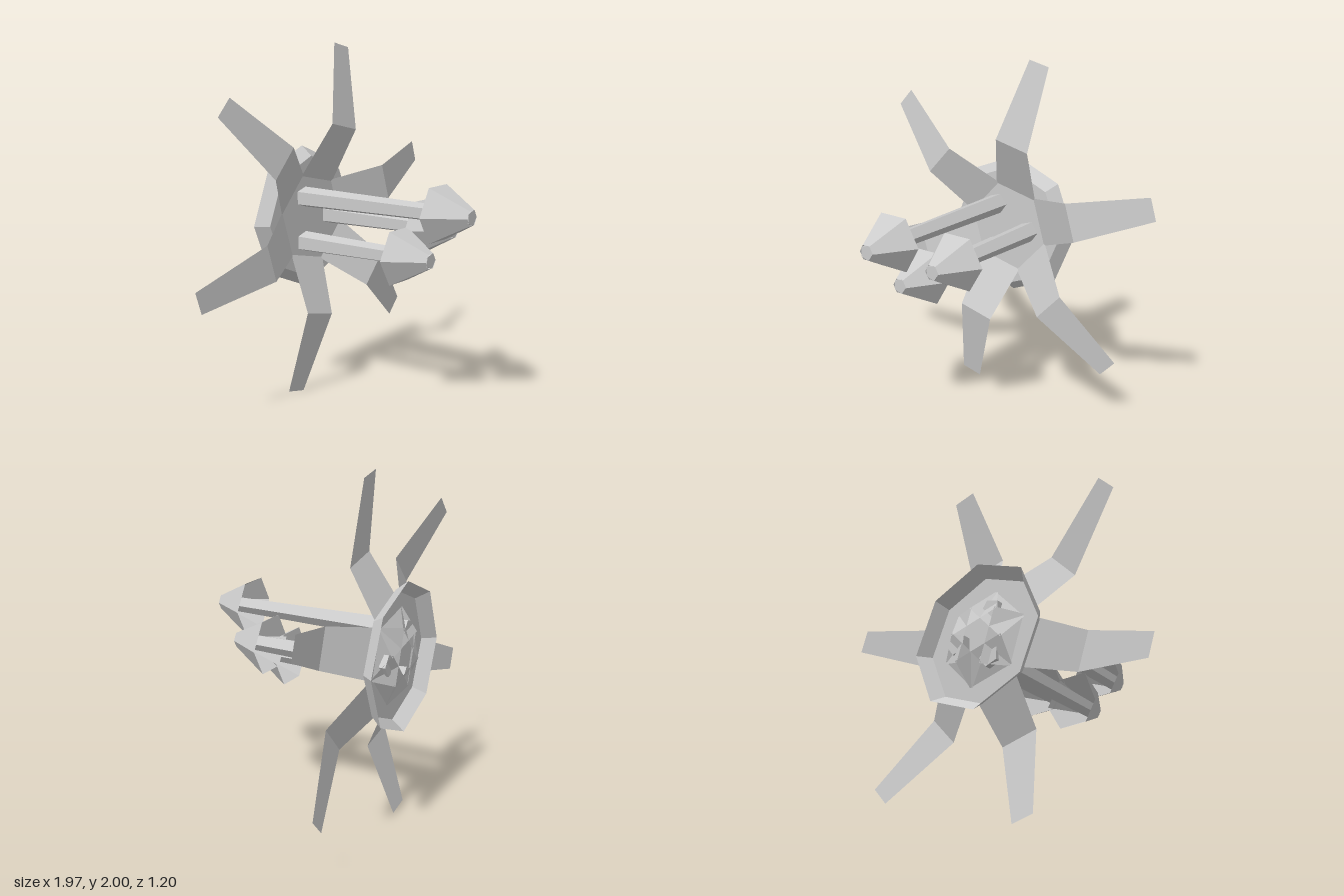
import * as THREE from 'three';

const material = new THREE.MeshStandardMaterial({ color: 0xcccccc, flatShading: true, side: THREE.DoubleSide });

function part(name, geometry, parent) {
  const mesh = new THREE.Mesh(geometry, material);
  mesh.name = name;
  parent.add(mesh);
  return mesh;
}

// Tapered prism along z, with a corner pointing to +x
function prism(rBack, rFront, zBack, zFront, sides, open) {
  return new THREE.CylinderGeometry(rFront, rBack, zFront - zBack, sides, 1, open, Math.PI / 2)
    .rotateX(Math.PI / 2)
    .translate(0, 0, (zBack + zFront) / 2);
}

// Thin strip through rows of [distance from centre, half width, z]
function strip(rows) {
  const points = [], index = [];
  rows.forEach(([r, w, z], i) => {
    points.push(r, -w, z, r, w, z);
    if (i > 0) {
      const a = 2 * (i - 1);
      index.push(a, a + 2, a + 3, a, a + 3, a + 1);
    }
  });
  const geometry = new THREE.BufferGeometry();
  geometry.setAttribute('position', new THREE.Float32BufferAttribute(points, 3));
  geometry.setIndex(index);
  geometry.computeVertexNormals();
  return geometry;
}

export function createModel() {
  const flower = new THREE.Group();
  flower.name = 'flower';

  // Shallow eight-sided cup, open at the back
  const cup = new THREE.Group();
  cup.name = 'cup';
  flower.add(cup);
  part('cupWall', prism(0.415, 0.36, -0.6, -0.53, 8, true), cup);
  part('cupFloor', new THREE.CircleGeometry(0.36, 8).translate(0, 0, -0.53), cup);

  // Six bent petals whose inner ends cross behind the cup floor
  const petal = strip([[0.08, 0.154, -0.6], [0.54, 0.11, -0.38], [1.01, 0.065, -0.48]]);
  for (let i = 0; i < 6; i++) {
    part('petal', petal, flower).rotation.z = THREE.MathUtils.degToRad(17.3 + 60 * i);
  }

  // Three stamens: a five-sided stalk through a hollow six-sided tip
  [0.35, 0.6, 0.35].forEach((tip, i) => {
    const stamen = new THREE.Group();
    stamen.name = 'stamen';
    const angle = (i * 2 * Math.PI) / 3;
    stamen.position.set(0.15 * Math.cos(angle), 0.15 * Math.sin(angle), 0);
    part('stalk', prism(0.062, 0.043, -0.58, tip, 5, false), stamen);
    part('anther', prism(0.17, 0.045, tip - 0.21, tip, 6, true), stamen);
    flower.add(stamen);
  });

  flower.position.y = 1;
  const model = new THREE.Group();
  model.add(flower);
  return model;
}
